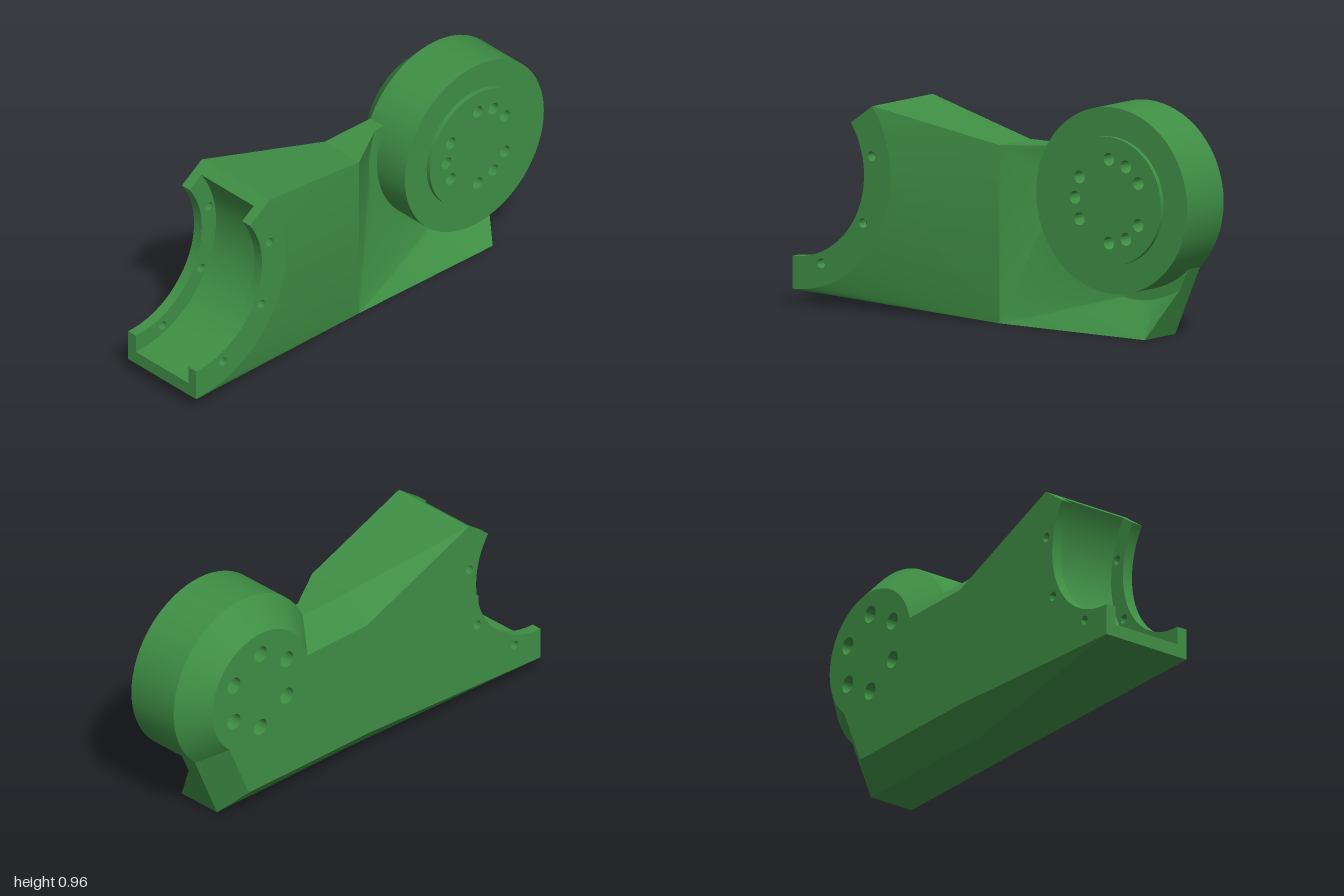
import * as THREE from 'three';
import { toCreasedNormals } from 'three/addons/utils/BufferGeometryUtils.js';

const N = 32;
const HALF = 0.207;            // half width of the clamp end
const LEFT = -0.095;           // where the left chamfer begins
const RIGHT = 0.115;           // right side of the arm
const FLOOR = -0.015;          // recessed seat beside the disc
const TOP = 0.745, BEVEL = 0.112;
const BORE = { z: 1, y: 0.57, dir: -1, from: 0.618, to: -Math.PI / 2 };
const HUB = { z: -0.61, y: 0.575, dir: 1 };

const material = new THREE.MeshStandardMaterial({ color: 0x3f8f45, side: THREE.DoubleSide });

function addMesh(group, name, geometry) {
  const mesh = new THREE.Mesh(toCreasedNormals(geometry, 0.5), material);
  mesh.name = name;
  group.add(mesh);
}

// Points of an arc in a plane of constant x
function arc(c, r, a0, a1, x) {
  return Array.from({ length: N + 1 }, (_, i) => {
    const a = a0 + (a1 - a0) * i / N;
    return [x, c.y + r * Math.sin(a), c.z + c.dir * r * Math.cos(a)];
  });
}

// Collects triangles, each turned to face away from an inner point
function skin(inside) {
  const pos = [], centre = new THREE.Vector3(...inside);
  const tri = (p, q, r) => {
    const [a, b, c] = [p, q, r].map(v => new THREE.Vector3(...v));
    const n = b.clone().sub(a).cross(c.clone().sub(a));
    if (n.length() < 1e-8) return;
    const out = n.dot(a.clone().sub(centre)) > 0;
    pos.push(...p, ...(out ? q : r), ...(out ? r : q));
  };
  const poly = (...p) => {
    for (let i = 1; i < p.length - 1; i++) tri(p[0], p[i], p[i + 1]);
  };
  const ribbon = (p, q) => {
    for (let i = 0; i < p.length - 1; i++) poly(p[i], p[i + 1], q[i + 1], q[i]);
  };
  // Joins an arc to a few corners; each corner serves the arc up to its stop index
  const fan = (points, corners, stops) => {
    let i = 0;
    corners.forEach((corner, k) => {
      for (; i < stops[k]; i++) tri(corner, points[i], points[i + 1]);
      if (k + 1 < corners.length) tri(corner, points[i], corners[k + 1]);
    });
  };
  const geometry = () => new THREE.BufferGeometry()
    .setAttribute('position', new THREE.Float32BufferAttribute(pos, 3));
  return { tri, poly, ribbon, fan, geometry };
}

// Shapes are drawn with -z to the right and extruded from x0 to x1
function extrudeX(shape, x0, x1) {
  const g = new THREE.ExtrudeGeometry(shape, { depth: x1 - x0, bevelEnabled: false, curveSegments: N });
  return g.translate(0, 0, x0).rotateY(Math.PI / 2);
}

function circleHole(u, y, r) {
  return new THREE.Path().absarc(u, y, r, 0, Math.PI * 2, true);
}

function boreSector(inner, outer) {
  const s = new THREE.Shape();
  s.absarc(-BORE.z, BORE.y, outer, BORE.to, BORE.from, false);
  s.absarc(-BORE.z, BORE.y, inner, BORE.from, BORE.to, true);
  return s;
}

// Widening arm between the middle section and the clamp
function frontArm() {
  const s = skin([0, 0.4, 0.25]);
  const R = arc(BORE, 0.507, BORE.from, BORE.to, HALF);
  const L = arc(BORE, 0.507, BORE.from, BORE.to, -HALF);
  const mid = Math.round(N * BORE.from / (BORE.from - BORE.to));
  const tr = [RIGHT, TOP, 0], br = [RIGHT, 0, 0], tl = [LEFT, TOP, 0], bl = [LEFT, 0, 0];
  s.fan(R, [tr, br], [mid, N]);
  s.fan(L, [tl, [-HALF, TOP - BEVEL, 0], [-HALF, BEVEL, 0], bl], [0, mid, N, N]);
  s.poly(tl, tr, R[0], L[0]);
  s.poly(bl, br, R[N], L[N]);
  return s.geometry();
}

// Arm carrying the disc, scooped on the right and chamfered on the left
function rearArm() {
  const s = skin([-0.17, 0.25, -0.25]);
  const rim = arc(HUB, 0.435, 0.401, -2.115, FLOOR);
  const inner = arc(HUB, 0.37, 0.401, -2.115, FLOOR);
  const at = a => Math.round(N * (0.401 - a) / 2.516);
  const tr = [RIGHT, TOP, 0], br = [RIGHT, 0, 0], er = [RIGHT, 0, -0.75];
  const tl = [LEFT, TOP, 0], bl = [LEFT, 0, 0], el = [LEFT, 0, -0.75];
  const topEnd = [LEFT, TOP, -0.35], tailEnd = [LEFT, 0.35, -0.903];
  const topSeat = [FLOOR, TOP, -0.35], tailSeat = [FLOOR, 0.35, -0.903];

  // scooped side and seat ring
  s.fan(rim, [tr, br, er], [at(0), at(-Math.PI / 2), N]);
  s.ribbon(rim, inner);
  s.tri(rim[0], inner[0], topSeat);
  s.tri(rim[N], inner[N], tailSeat);

  // top, bottom and tail
  s.poly(tl, tr, rim[0], topSeat, topEnd);
  s.poly(bl, br, er, el);
  s.poly(el, er, rim[N], tailSeat, tailEnd);

  // chamfers and flat left side
  const a = [-HALF, TOP - BEVEL, 0], b = [-HALF, BEVEL, 0];
  const c = [-HALF, BEVEL, -0.677], d = [-HALF, 0.4, -0.802];
  s.poly(tl, a, [-HALF, TOP - BEVEL, -0.38], topEnd);
  s.poly(bl, b, c, el);
  s.poly(el, c, d, tailEnd);
  s.fan(arc(HUB, 0.26, 0.225, -2.4, -HALF), [a, b, c, d], [3, 22, N, N]);
  return s.geometry();
}

// Round plate of the disc with bolt holes
function holedDisc(radius, holeRadius, blind) {
  const s = new THREE.Shape().absarc(-HUB.z, HUB.y, radius, 0, Math.PI * 2, false);
  const angles = [30, 90, 150, 210, 270, 330].concat(blind ? [60, 180, 300] : []);
  for (const deg of angles) {
    const a = deg * Math.PI / 180;
    s.holes.push(circleHole(-HUB.z + 0.175 * Math.cos(a), HUB.y + 0.175 * Math.sin(a), holeRadius));
  }
  return s;
}

export function createModel() {
  const model = new THREE.Group();
  model.name = 'clampArm';

  addMesh(model, 'frontArm', frontArm());
  addMesh(model, 'rearArm', rearArm());

  // Half-round clamp: wall and two drilled cheeks
  const clamp = new THREE.Group();
  clamp.name = 'clamp';
  addMesh(clamp, 'clampWall', extrudeX(boreSector(0.45, 0.507), -0.16, 0.16));
  const cheek = boreSector(0.37, 0.507);
  for (const [z, y] of [[0.59, 0.655], [0.635, 0.37], [0.85, 0.182]]) {
    cheek.holes.push(circleHole(-z, y, 0.02));
  }
  addMesh(clamp, 'rightCheek', extrudeX(cheek, -HALF, -0.16));
  addMesh(clamp, 'leftCheek', extrudeX(cheek, 0.16, HALF));
  model.add(clamp);

  // Disc: chamfered rim, counterbored back, raised drilled face
  const disc = new THREE.Group();
  disc.name = 'disc';
  const profile = [[0.275, -HALF], [0.39, -0.095], [0.39, 0.155], [0.265, 0.155]]
    .map(p => new THREE.Vector2(...p));
  const rim = new THREE.LatheGeometry(profile, 64).rotateZ(-Math.PI / 2).translate(0, HUB.y, HUB.z);
  addMesh(disc, 'discRim', rim);
  addMesh(disc, 'discBack', extrudeX(holedDisc(0.275, 0.037, false), -HALF, -0.095));
  addMesh(disc, 'discCore', extrudeX(holedDisc(0.268, 0.027, false), -0.095, 0.1));
  addMesh(disc, 'discFace', extrudeX(holedDisc(0.268, 0.027, true), 0.1, 0.175));
  model.add(disc);

  return model;
}
